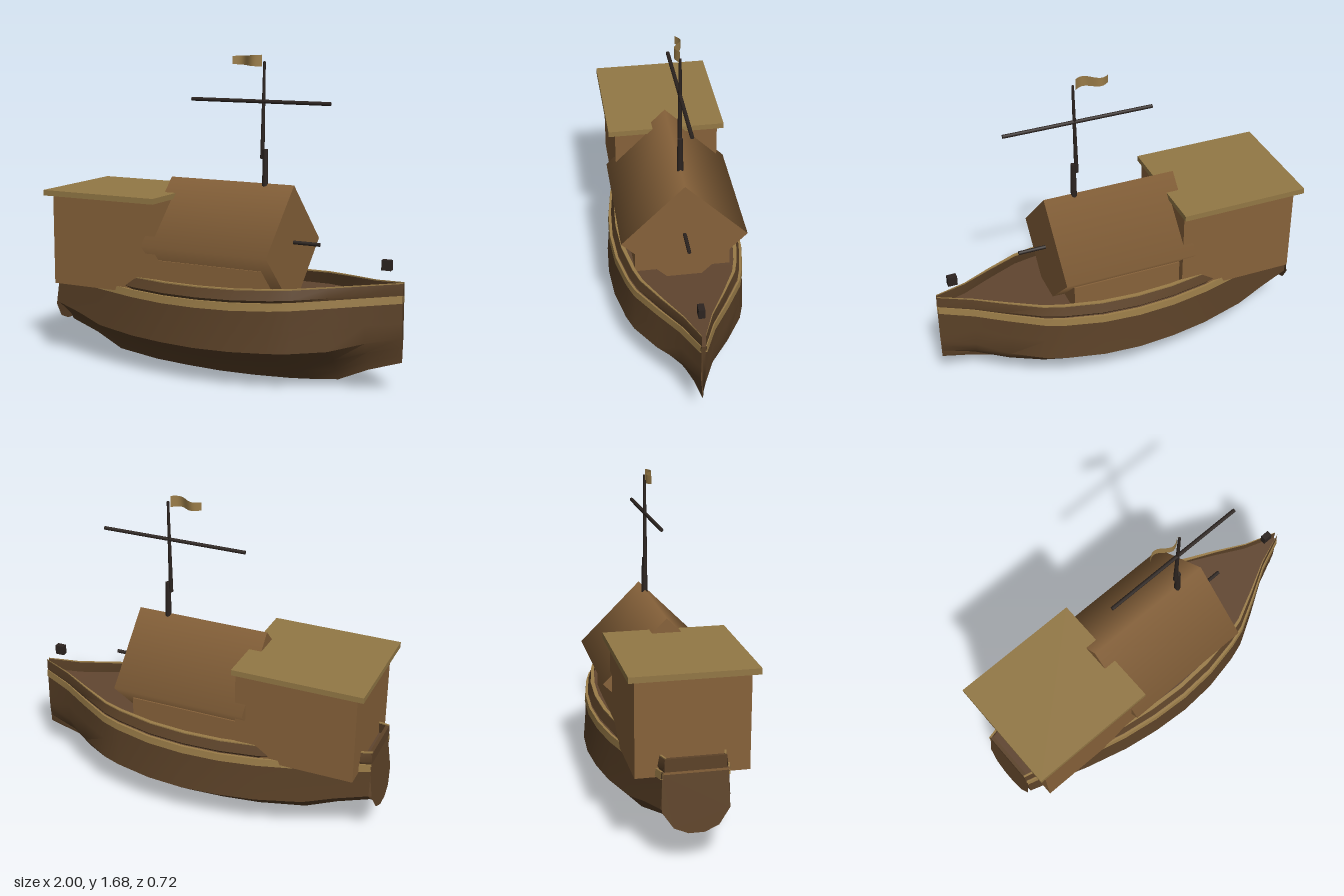
import * as THREE from 'three';
import { toCreasedNormals } from 'three/addons/utils/BufferGeometryUtils.js';

const material = (color, side = THREE.FrontSide) => new THREE.MeshStandardMaterial({ color, side });
const HULL = material(0x5c4228, THREE.DoubleSide);
const TRIM = material(0x9a7c48, THREE.DoubleSide);
const WALL = material(0x87623a);
const ROOF = material(0x937845);
const DECK = material(0x614630, THREE.DoubleSide);
const DARK = material(0x2c2420);

// Stations from stern to bow: x, half width, keel height, sheer height
const STATIONS = [
  [-0.968, 0.16, 0.165, 0.545], [-0.8, 0.205, 0.11, 0.535], [-0.64, 0.245, 0.035, 0.525],
  [-0.4, 0.302, 0.01, 0.517], [-0.2, 0.332, 0.003, 0.513], [0, 0.345, 0, 0.515],
  [0.2, 0.335, 0.005, 0.52], [0.4, 0.298, 0.015, 0.53], [0.5, 0.268, 0.023, 0.537],
  [0.67, 0.175, 0.04, 0.549], [0.83, 0.08, 0.11, 0.56], [1, 0.01, 0.165, 0.577],
];

// Skin a strip through one cross-section of [z, y] points per station
function loft(section, closed = false) {
  const pos = [], index = [];
  let n = 0;
  for (const [x, w, keel, sheer] of STATIONS) {
    const pts = section(w, keel, sheer);
    if (closed) pts.push(pts[0]);
    n = pts.length;
    for (const [z, y] of pts) pos.push(x, y, z);
  }
  for (let i = 0; i < STATIONS.length - 1; i++) {
    for (let j = 0; j < n - 1; j++) {
      const a = i * n + j, b = a + 1, c = a + n, d = c + 1;
      index.push(a, b, c, b, d, c);
    }
  }
  const g = new THREE.BufferGeometry();
  g.setAttribute('position', new THREE.Float32BufferAttribute(pos, 3));
  g.setIndex(index);
  return toCreasedNormals(g, 0.6);
}

export function createModel() {
  const model = new THREE.Group();
  const add = (name, geometry, mat, x = 0, y = 0, z = 0) => {
    const mesh = new THREE.Mesh(geometry, mat);
    mesh.name = name;
    mesh.position.set(x, y, z);
    model.add(mesh);
    return mesh;
  };
  const box = (name, mat, x0, x1, y0, y1, depth) =>
    add(name, new THREE.BoxGeometry(x1 - x0, y1 - y0, depth), mat, (x0 + x1) / 2, (y0 + y1) / 2);

  // Hull: two uneven bilges with a groove between them
  add('hull', loft((w, keel, sheer) => {
    const s = w / 0.345;
    const up = (y) => keel + y * (1 - keel / 0.45);
    return [
      [w, sheer - 0.07], [0.352 * s, up(0.32)], [0.362 * s, up(0.2)], [0.23 * s, up(0.13)],
      [0.12 * s, up(0.06)], [0.06 * s, keel], [0, 0.17], [-0.04 * s, 0.17],
      [-0.11 * s, up(0.07)], [-0.27 * s, up(0.13)], [-0.362 * s, up(0.2)],
      [-0.352 * s, up(0.32)], [-w, sheer - 0.07],
    ];
  }), HULL);

  add('deck', loft((w, k, sheer) => [[-w, sheer - 0.07], [w, sheer - 0.07]]), DECK);

  // Rubbing strake, bulwark and cap rail on both sides
  for (const s of [1, -1]) {
    const side = s > 0 ? 'left' : 'right';
    const rail = (name, mat, section) => add(name, loft((w, k, sheer) => {
      const pts = section(w, sheer).map(([z, y]) => [s * z, y]);
      return s > 0 ? pts : pts.reverse();
    }, true), mat);
    rail(side + 'Strake', TRIM, (w, t) =>
      [[w * 0.97, t - 0.066], [w + 0.004, t - 0.066], [w + 0.008, t - 0.105], [w * 0.97, t - 0.105]]);
    rail(side + 'Bulwark', HULL, (w, t) =>
      [[w * 0.87, t - 0.006], [w * 0.92, t - 0.006], [w * 0.97, t - 0.055], [w * 0.93, t - 0.07]]);
    rail(side + 'CapRail', TRIM, (w, t) =>
      [[w * 0.86, t], [w * 0.92, t], [w * 0.92, t - 0.006], [w * 0.86, t - 0.006]]);
  }

  // Raked stern board and the low board above it
  const board = new THREE.Shape([
    [-0.16, 0.46], [-0.165, 0.28], [-0.11, 0.2], [-0.04, 0.17],
    [0.04, 0.17], [0.11, 0.2], [0.165, 0.28], [0.16, 0.46],
  ].map(([x, y]) => new THREE.Vector2(x, y)));
  const transom = new THREE.ShapeGeometry(board).rotateY(-Math.PI / 2);
  const p = transom.attributes.position;
  for (let i = 0; i < p.count; i++) p.setX(i, -0.962 - 0.13 * (0.46 - p.getY(i)));
  transom.computeVertexNormals();
  add('transom', transom, HULL);
  box('sternBulwark', HULL, -0.968, -0.95, 0.475, 0.54, 0.3);

  // Aft cabin
  box('cabin', WALL, -0.91, -0.27, 0.43, 0.917, 0.56);
  box('cabinRoof', ROOF, -0.95, -0.26, 0.917, 0.947, 0.63);

  // Deckhouse: a gabled four-sided prism on a low base
  box('deckhouseBase', WALL, -0.265, 0.33, 0.45, 0.61, 0.5);
  add('deckhouse', new THREE.CylinderGeometry(0.327, 0.327, 0.725, 4).rotateZ(Math.PI / 2),
    WALL, 0.035, 0.695);

  // Spars
  const spar = (name, rTop, rBottom, length, x, y) =>
    add(name, new THREE.CylinderGeometry(rTop, rBottom, length, 8), DARK, x, y);
  spar('lowerMast', 0.014, 0.017, 0.2, 0.232, 1.1);
  spar('upperMast', 0.007, 0.012, 0.5, 0.22, 1.4).rotation.z = -0.02;
  spar('yard', 0.01, 0.01, 0.795, 0.197, 1.445).rotation.z = Math.PI / 2;
  spar('bowPeg', 0.01, 0.01, 0.16, 0.465, 0.725).rotation.z = Math.PI / 2;
  box('bowLantern', DARK, 0.885, 0.935, 0.63, 0.682, 0.032);

  // Waving pennant, narrowing away from the mast
  const flag = new THREE.PlaneGeometry(0.17, 0.06, 12, 1);
  const f = flag.attributes.position;
  for (let i = 0; i < f.count; i++) {
    const t = 0.5 - f.getX(i) / 0.17;
    f.setY(i, f.getY(i) * (1 - 0.3 * t));
    f.setZ(i, 0.022 * Math.sin(t * Math.PI * 2));
  }
  flag.computeVertexNormals();
  add('pennant', flag, TRIM, 0.125, 1.653);

  return model;
}
